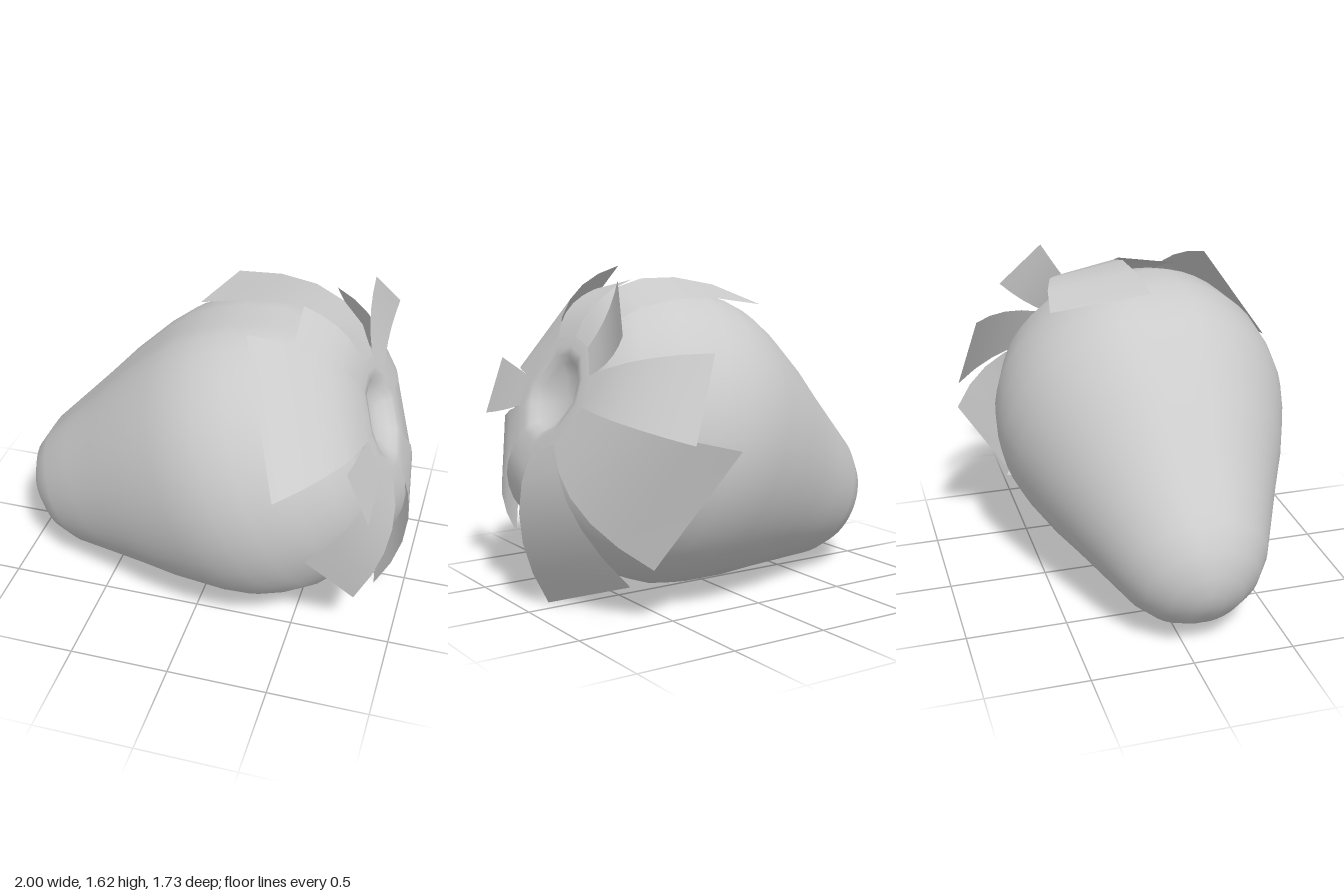
import * as THREE from 'three';
import { mergeVertices } from 'three/addons/utils/BufferGeometryUtils.js';

// Fruit axis: a line in the x/y plane, rising towards +x
const THETA = Math.atan2(0.92, 0.39);
const V = (x, y, z) => new THREE.Vector3(x, y, z);
const AXIS = V(Math.sin(THETA), Math.cos(THETA), 0);
const ORIGIN = V(0, 0.7, 0.08);

const grey = () => new THREE.MeshStandardMaterial({ color: 0xcccccc, side: THREE.DoubleSide });

// Smooth sheet through rows of points
function sheet(rows) {
  const n = rows[0].length, pos = [], index = [];
  rows.forEach(row => row.forEach(p => pos.push(p.x, p.y, p.z)));
  for (let r = 0; r < rows.length - 1; r++) {
    for (let c = 0; c < n - 1; c++) {
      const a = r * n + c;
      index.push(a, a + 1, a + n, a + 1, a + n + 1, a + n);
    }
  }
  let geo = new THREE.BufferGeometry();
  geo.setAttribute('position', new THREE.Float32BufferAttribute(pos, 3));
  geo.setIndex(index);
  geo = mergeVertices(geo);
  geo.computeVertexNormals();
  return geo;
}

// Lathed fruit with a shallow groove along its upper and lower side
function makeBody() {
  const profile = [
    [0, -1.06], [0.08, -1.052], [0.18, -1.02], [0.28, -0.945], [0.355, -0.84], [0.44, -0.65],
    [0.53, -0.45], [0.62, -0.26], [0.71, -0.03], [0.75, 0.12], [0.757, 0.25], [0.742, 0.4],
    [0.67, 0.6], [0.545, 0.76], [0.41, 0.845], [0.3, 0.865], [0.2, 0.83], [0, 0.76],
  ].map(([r, s]) => new THREE.Vector2(r, s));
  let geo = new THREE.LatheGeometry(profile, 48);
  const p = geo.attributes.position;
  for (let i = 0; i < p.count; i++) {
    const x = p.getX(i), z = p.getZ(i);
    const angle = Math.atan2(z, Math.abs(x));
    const k = 1 - 0.035 * Math.exp(-((angle / 0.16) ** 2));
    p.setXYZ(i, x * k, p.getY(i), z * k);
  }
  geo.deleteAttribute('uv');
  geo.deleteAttribute('normal');
  geo = mergeVertices(geo);
  geo.computeVertexNormals();
  geo.rotateZ(-THETA).translate(ORIGIN.x, ORIGIN.y, ORIGIN.z);
  const mesh = new THREE.Mesh(geo, grey());
  mesh.name = 'fruitBody';
  return mesh;
}

// Notches between the leaves, as [z, y] in the crown plane
const NOTCHES = [
  [0.34, 1.10], [0.19, 1.30], [0.03, 1.32], [-0.12, 1.28], [-0.22, 1.16],
  [-0.25, 1.02], [-0.12, 0.84], [0.07, 0.77], [0.23, 0.81], [0.34, 0.96],
].map(([z, y]) => V((0.89 - 0.39 * (y - 0.7)) / 0.92, y, z));

// Outer two corners of each leaf, starting at the first notch
const TIPS = [
  [[0.47, 1.05, 0.87], [0.23, 1.63, 0.43]],
  [[0.42, 1.52, 0.34], [0.40, 1.58, 0.02]],
  [[-0.10, 1.54, 0.05], [-0.04, 1.47, -0.44]],
  [[0.68, 1.60, -0.33], [0.78, 1.37, -0.54]],
  [[0.42, 1.29, -0.73], [0.58, 0.90, -0.82]],
  [[0.36, 0.86, -0.86], [0.62, 0.28, -0.53]],
  [[0.76, 0.23, -0.55], [0.85, 0.01, 0.085]],
  [[0.90, 0.38, 0.095], [0.87, 0.48, 0.41]],
  [[0.81, 0.27, 0.51], [0.62, 0.71, 0.82]],
  [[0.88, 0.88, 0.69], [0.77, 1.16, 0.71]],
];

export function createModel() {
  const model = new THREE.Group();
  model.name = 'strawberry';
  model.add(makeBody());

  const centre = V(0.815, 1.05, 0.045);

  // Collar and hollow where the stalk was: rings of [scale, depth along axis]
  const rings = [[1, 0], [0.82, 0.005], [0.68, 0], [0.58, -0.03], [0.38, -0.065], [0, -0.08]];
  const loop = [...NOTCHES, NOTCHES[0]];
  const crown = new THREE.Mesh(sheet(rings.map(([k, d]) =>
    loop.map(p => centre.clone().lerp(p, k).addScaledVector(AXIS, d)))), grey());
  crown.name = 'crown';
  model.add(crown);

  // Leaves: square-ended blades that leave the collar flat and bend to their tips
  const leaves = new THREE.Group();
  leaves.name = 'leaves';
  TIPS.forEach((tips, i) => {
    const edges = tips.map((tip, j) => {
      const base = NOTCHES[(i + j) % NOTCHES.length];
      const end = V(...tip);
      const out = base.clone().sub(centre).normalize();
      const bend = base.clone().addScaledVector(out, 0.5 * base.distanceTo(end));
      return new THREE.QuadraticBezierCurve3(base, bend, end).getPoints(5);
    });
    const rows = edges[0].map((a, k) => [a, edges[1][k]]);
    const leaf = new THREE.Mesh(sheet(rows), grey());
    leaf.name = 'leaf' + (i + 1);
    leaves.add(leaf);
  });
  model.add(leaves);
  return model;
}
